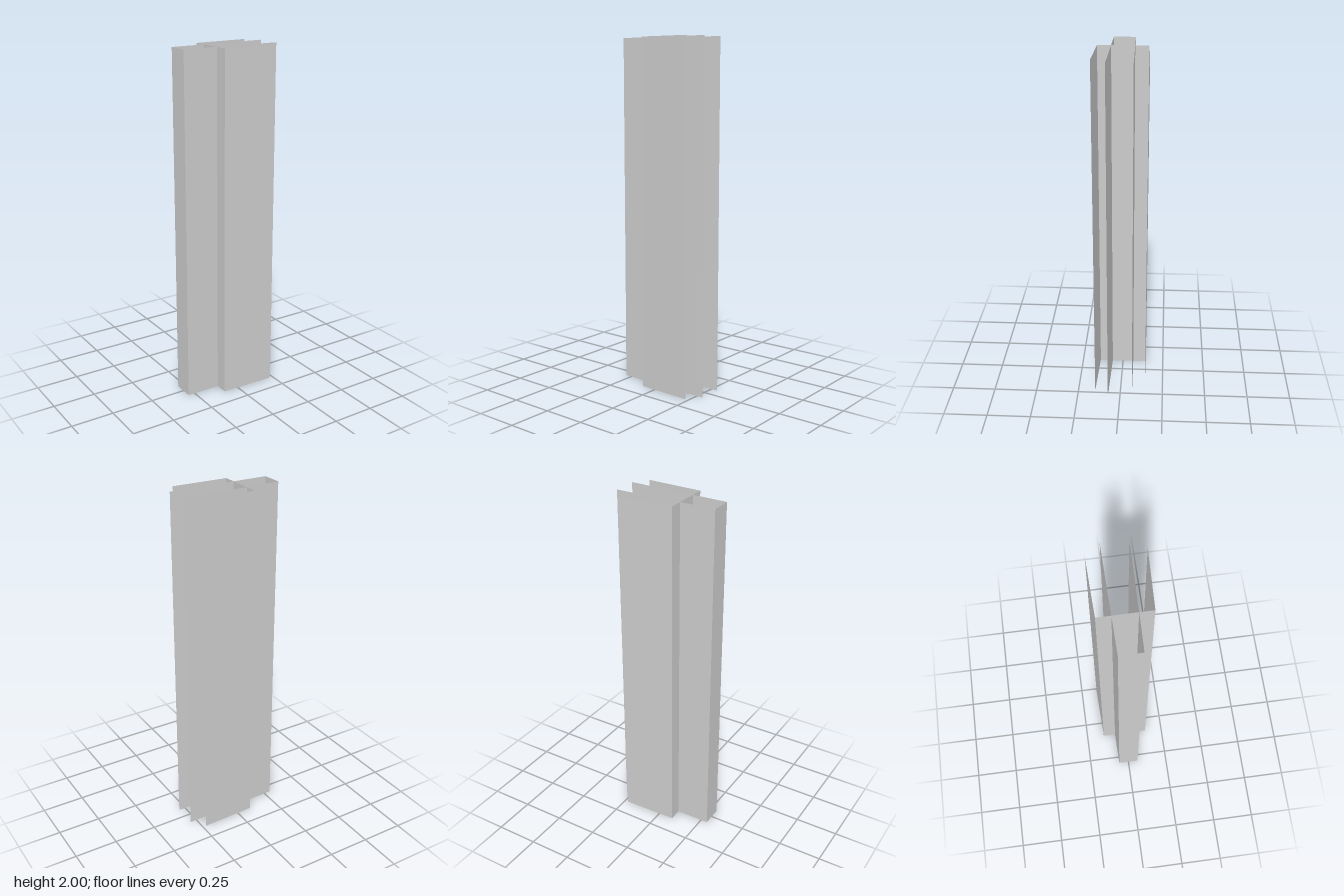
import * as THREE from 'three';

const HEIGHT = 2;
const material = new THREE.MeshStandardMaterial({ color: 0xcccccc, side: THREE.DoubleSide });

// Upright thin sheet between two points of the floor plan, given as [x, z]
function sheet(name, [x0, z0], [x1, z1]) {
  const geometry = new THREE.PlaneGeometry(Math.hypot(x1 - x0, z1 - z0), HEIGHT);
  const mesh = new THREE.Mesh(geometry, material);
  mesh.name = name;
  mesh.position.set((x0 + x1) / 2, HEIGHT / 2, (z0 + z1) / 2);
  mesh.rotation.y = -Math.atan2(z1 - z0, x1 - x0);
  return mesh;
}

// U-shaped channel: a closed web at one end and two slightly flared flanges
function channel(name, closedX, openX, closedZ, openZ) {
  const group = new THREE.Group();
  group.name = name;
  group.add(
    sheet('web', [closedX, -closedZ], [closedX, closedZ]),
    sheet('frontFlange', [closedX, closedZ], [openX, openZ]),
    sheet('backFlange', [openX, -openZ], [closedX, -closedZ]),
  );
  return group;
}

export function createModel() {
  const model = new THREE.Group();
  model.name = 'nestedChannels';
  model.add(
    channel('narrowChannel', -0.29, 0.29, 0.061, 0.071), // long, inner
    channel('wideChannel', -0.09, 0.23, 0.14, 0.15), // short, outer
  );
  return model;
}
